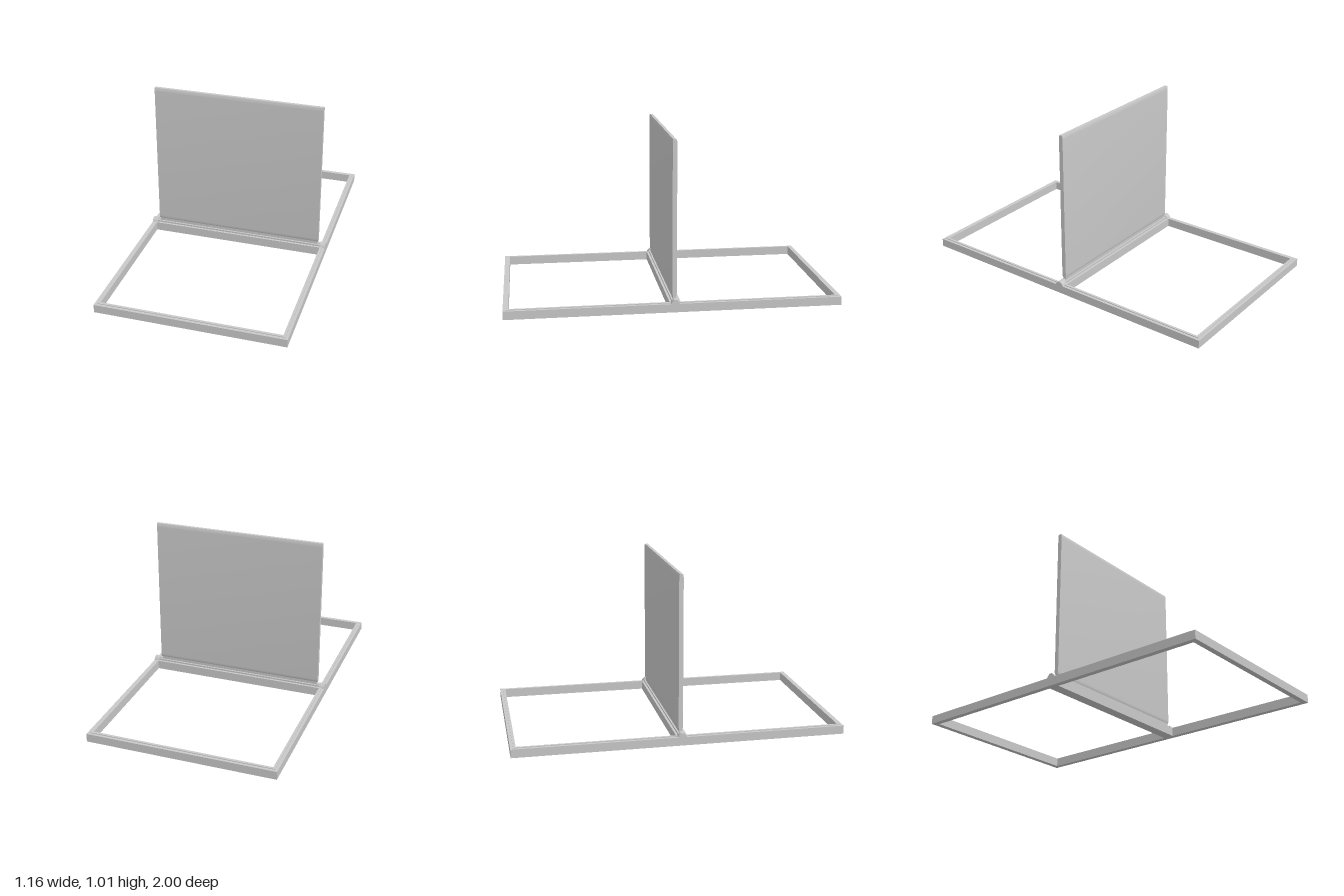
import * as THREE from 'three';
import { toCreasedNormals } from 'three/addons/utils/BufferGeometryUtils.js';

export function createModel() {
  const group = new THREE.Group();
  const grey = new THREE.MeshStandardMaterial({ color: 0xc8c8c8 });
  grey.name = 'light grey';

  const add = (name, geometry) => {
    const mesh = new THREE.Mesh(geometry, grey);
    mesh.name = name;
    group.add(mesh);
    return mesh;
  };
  const outline = (Type, x0, y0, x1, y1) => new Type([
    [x0, y0], [x1, y0], [x1, y1], [x0, y1],
  ].map(([x, y]) => new THREE.Vector2(x, y)));

  // Flat frame with two openings either side of a cross bar
  const frameLayer = (name, inset, bottom, top) => {
    const shape = outline(THREE.Shape, -0.58 + inset, -1 + inset, 0.58 - inset, 1 - inset);
    shape.holes.push(
      outline(THREE.Path, -0.548, 0.033, 0.548, 0.967),
      outline(THREE.Path, -0.548, -0.967, 0.548, -0.033),
    );
    const geo = new THREE.ExtrudeGeometry(shape, { depth: top - bottom, bevelEnabled: false });
    geo.rotateX(-Math.PI / 2).translate(0, bottom, 0);
    add(name, geo);
  };
  frameLayer('frame', 0, 0, 0.051);
  frameLayer('frameLip', 0.017, 0.051, 0.055);

  // Profile of [half depth, height] points, mirrored in z and extruded along x
  const bar = (name, profile, length, x = 0) => {
    const right = profile.map(([z, y]) => new THREE.Vector2(z, y));
    const left = profile.map(([z, y]) => new THREE.Vector2(-z, y)).reverse();
    const geo = new THREE.ExtrudeGeometry(new THREE.Shape([...right, ...left]),
      { depth: length, bevelEnabled: false });
    geo.translate(0, 0, -length / 2).rotateY(Math.PI / 2).translate(x, 0, 0);
    add(name, toCreasedNormals(geo, 0.6));
  };

  // Raised seat on the cross bar and the narrow foot of the panel
  bar('crossBarRidge', [[0.019, 0.05], [0.019, 0.065]], 1.1);
  bar('panelFoot', [[0.009, 0.06], [0.009, 0.085]], 1.055);

  // Upright panel with softly rounded top and bottom edges
  bar('panel', [
    [0.009, 0.083], [0.011, 0.088], [0.0125, 0.095], [0.0132, 0.105],
    [0.0132, 0.992], [0.0125, 1.002], [0.011, 1.009], [0.009, 1.014],
  ], 1.066);

  // Pivot blocks at both ends of the cross bar
  for (const side of [-1, 1]) {
    bar('pivotBlock', [[0.027, 0.05], [0.025, 0.058], [0.012, 0.072], [0.009, 0.075]],
      0.034, side * 0.563);
    const pin = add('pivotPin', new THREE.CylinderGeometry(0.007, 0.007, 0.03, 16));
    pin.rotation.z = Math.PI / 2;
    pin.position.set(side * 0.535, 0.066, 0);
  }
  return group;
}
